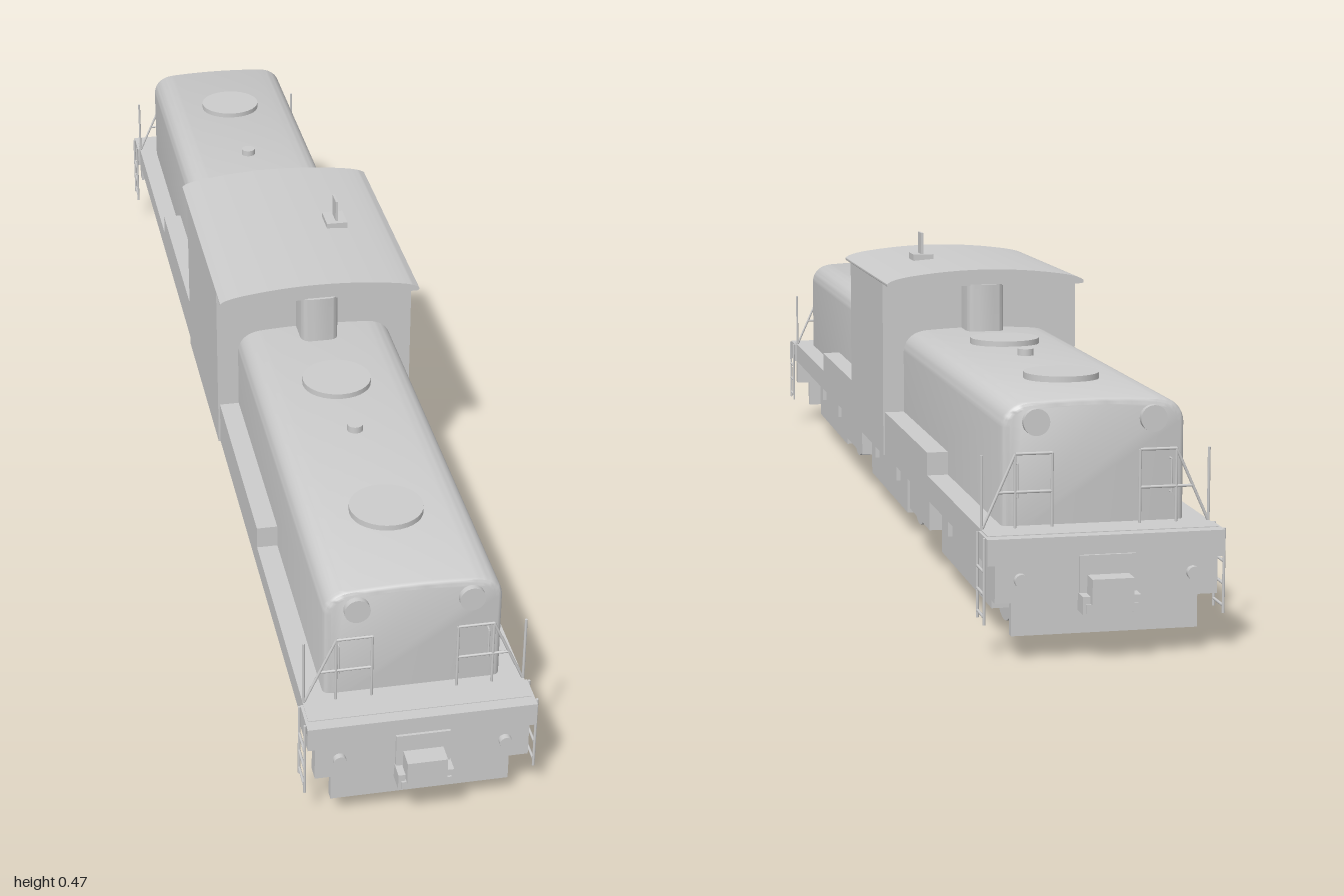
import * as THREE from 'three';
import { toCreasedNormals } from 'three/addons/utils/BufferGeometryUtils.js';

const grey = new THREE.MeshStandardMaterial({ color: 0xcccccc });

function add(parent, name, geometry, x = 0, y = 0, z = 0) {
  const mesh = new THREE.Mesh(geometry, grey);
  mesh.name = name;
  mesh.position.set(x, y, z);
  parent.add(mesh);
  return mesh;
}

// Box given by its limits on each axis
function block(parent, name, x0, x1, y0, y1, z0, z1) {
  return add(parent, name, new THREE.BoxGeometry(x1 - x0, y1 - y0, z1 - z0),
    (x0 + x1) / 2, (y0 + y1) / 2, (z0 + z1) / 2);
}

// Upright disc, or one facing +z
function disc(parent, name, r, h, x, y, z, facing = false) {
  const g = new THREE.CylinderGeometry(r, r, h, 32);
  if (facing) g.rotateX(Math.PI / 2);
  return add(parent, name, g, x, y, z);
}

// Thin rods through a list of points
function rail(parent, name, points, r = 0.002) {
  const group = new THREE.Group();
  group.name = name;
  for (let i = 1; i < points.length; i++) {
    const a = new THREE.Vector3(...points[i - 1]);
    const b = new THREE.Vector3(...points[i]);
    const d = b.clone().sub(a);
    const rod = add(group, name + 'Rod', new THREE.CylinderGeometry(r, r, d.length(), 8));
    rod.position.copy(a).add(b).multiplyScalar(0.5);
    rod.quaternion.setFromUnitVectors(new THREE.Vector3(0, 1, 0), d.normalize());
  }
  parent.add(group);
}

// Engine hood: rounded section with a softened outer end
function hoodGeometry() {
  const b = 0.01, w = 0.125 - b;
  const s = new THREE.Shape();
  s.moveTo(-w, 0.15);
  s.lineTo(w, 0.15);
  s.lineTo(w, 0.298);
  s.quadraticCurveTo(w - 0.002, 0.32, 0.085, 0.322);
  s.quadraticCurveTo(0, 0.328, -0.085, 0.322);
  s.quadraticCurveTo(-w + 0.002, 0.32, -w, 0.298);
  s.closePath();
  const g = new THREE.ExtrudeGeometry(s, {
    depth: 0.735, bevelEnabled: true, bevelSize: b, bevelThickness: b, bevelSegments: 4, curveSegments: 10,
  });
  g.translate(0, 0, 0.15);
  return toCreasedNormals(g, 0.6);
}

// Arched cab roof
function roofGeometry() {
  const s = new THREE.Shape();
  s.moveTo(-0.157, 0.408);
  s.lineTo(0.157, 0.408);
  s.quadraticCurveTo(0.161, 0.409, 0.16, 0.413);
  s.quadraticCurveTo(0.155, 0.42, 0.12, 0.425);
  s.quadraticCurveTo(0, 0.442, -0.12, 0.425);
  s.quadraticCurveTo(-0.155, 0.42, -0.16, 0.413);
  s.quadraticCurveTo(-0.161, 0.409, -0.157, 0.408);
  const g = new THREE.ExtrudeGeometry(s, { depth: 0.43, bevelEnabled: false, curveSegments: 12 });
  g.translate(0, 0, -0.215);
  return toCreasedNormals(g, 0.6);
}

// Exhaust: round-fronted duct leaning against the cab
function exhaustGeometry() {
  const s = new THREE.Shape();
  s.moveTo(-0.03, 0);
  s.lineTo(-0.03, -0.035);
  s.quadraticCurveTo(-0.03, -0.055, -0.012, -0.055);
  s.lineTo(0.012, -0.055);
  s.quadraticCurveTo(0.03, -0.055, 0.03, -0.035);
  s.lineTo(0.03, 0);
  s.closePath();
  const g = new THREE.ExtrudeGeometry(s, { depth: 0.085, bevelEnabled: false, curveSegments: 8 });
  g.rotateX(-Math.PI / 2);
  return toCreasedNormals(g, 0.6);
}

// One half of the locomotive, facing +z
function createEnd(name) {
  const end = new THREE.Group();
  end.name = name;

  add(end, 'hood', hoodGeometry());
  for (const z of [0.35, 0.712]) disc(end, 'roofFan', 0.053, 0.014, 0, 0.336, z);
  disc(end, 'roofVent', 0.012, 0.014, 0, 0.338, 0.493);
  add(end, 'exhaust', exhaustGeometry(), 0, 0.325, 0.165);

  // End beam, pilot and coupler
  block(end, 'endPlatform', -0.16, 0.16, 0.13, 0.165, 0.912, 0.968);
  block(end, 'endBeam', -0.15, 0.15, 0.08, 0.14, 0.945, 0.967);
  block(end, 'pilot', -0.126, 0.126, 0.033, 0.08, 0.945, 0.957);
  block(end, 'couplerPlate', -0.038, 0.038, 0.08, 0.14, 0.965, 0.972);
  block(end, 'coupler', -0.028, 0.028, 0.08, 0.114, 0.965, 1.0);
  block(end, 'couplerBase', -0.035, 0.035, 0.068, 0.08, 0.955, 0.996);

  for (const s of [-1, 1]) {
    block(end, 'couplerLug', s * 0.034 - 0.005, s * 0.034 + 0.005, 0.066, 0.09, 0.965, 0.993);
    disc(end, 'headlight', 0.018, 0.014, s * 0.08, 0.305, 0.897, true);
    disc(end, 'markerLight', 0.009, 0.014, s * 0.116, 0.11, 0.969, true);

    // Raised side box along the hood
    const side = [s * 0.12, s * 0.156].sort((a, b) => a - b);
    block(end, 'sideBox', ...side, 0.16, 0.2, 0.15, 0.53);

    // Handrails
    const z = 0.908;
    rail(end, 'handrail', [[s * 0.06, 0.165, z], [s * 0.06, 0.265, z], [s * 0.11, 0.265, z], [s * 0.155, 0.165, z]]);
    rail(end, 'middleRail', [[s * 0.06, 0.214, z], [s * 0.133, 0.214, z]]);
    rail(end, 'railPost', [[s * 0.11, 0.165, z], [s * 0.11, 0.265, z]]);
    rail(end, 'cornerPost', [[s * 0.155, 0.165, z], [s * 0.155, 0.265, z]]);
    rail(end, 'grabIron', [[s * 0.105, 0.205, 0.894], [s * 0.105, 0.205, 0.903],
      [s * 0.105, 0.25, 0.903], [s * 0.105, 0.25, 0.894]], 0.0015);

    // Corner steps
    for (const lz of [0.915, 0.957]) {
      rail(end, 'stepRail', [[s * 0.162, 0.05, lz], [s * 0.162, 0.165, lz]]);
    }
    for (const y of [0.06, 0.09, 0.12]) {
      rail(end, 'stepRung', [[s * 0.162, y, 0.915], [s * 0.162, y, 0.957]]);
    }
  }
  return end;
}

// Two-axle bogie with side frames
function createBogie(z) {
  const bogie = new THREE.Group();
  bogie.name = 'bogie';
  bogie.position.z = z;
  block(bogie, 'bolster', -0.095, 0.095, 0.06, 0.132, -0.03, 0.03);
  const outline = new THREE.Shape([[-0.175, 0.035], [0.175, 0.035], [0.178, 0.12], [-0.178, 0.12]]
    .map(p => new THREE.Vector2(...p)));
  for (const s of [-1, 1]) {
    const frame = new THREE.ExtrudeGeometry(outline, { depth: 0.026, bevelEnabled: false });
    frame.rotateY(Math.PI / 2);
    add(bogie, 'sideFrame', frame, s * 0.108 - 0.013);
    block(bogie, 'frameLip', s * 0.112 - 0.014, s * 0.112 + 0.014, 0.111, 0.121, -0.181, 0.181);
    for (const az of [-0.104, 0.104]) {
      block(bogie, 'axleBox', s * 0.122 - 0.006, s * 0.122 + 0.006, 0.076, 0.112, az - 0.008, az + 0.008);
    }
  }
  for (const az of [-0.104, 0.104]) {
    const wheels = new THREE.CylinderGeometry(0.058, 0.058, 0.176, 32);
    wheels.rotateZ(Math.PI / 2);
    add(bogie, 'wheelset', wheels, 0, 0.058, az);
  }
  return bogie;
}

export function createModel() {
  const model = new THREE.Group();
  model.name = 'locomotive';

  block(model, 'deck', -0.156, 0.156, 0.13, 0.166, -0.95, 0.95);

  const front = createEnd('frontEnd');
  const rear = createEnd('rearEnd');
  rear.rotation.y = Math.PI;
  model.add(front, rear);

  // Cab
  block(model, 'cab', -0.159, 0.159, 0.13, 0.41, -0.165, 0.165);
  add(model, 'cabRoof', roofGeometry());
  block(model, 'antennaBase', 0.048, 0.082, 0.425, 0.44, -0.022, 0.022);
  block(model, 'antenna', 0.064, 0.068, 0.438, 0.475, -0.014, 0.014);

  // Underframe
  for (const z of [-0.64, 0.002, 0.64]) model.add(createBogie(z));
  block(model, 'largeTank', -0.135, 0.135, 0.063, 0.135, 0.2, 0.443);
  block(model, 'smallTank', -0.135, 0.135, 0.063, 0.135, -0.438, -0.272);
  return model;
}
